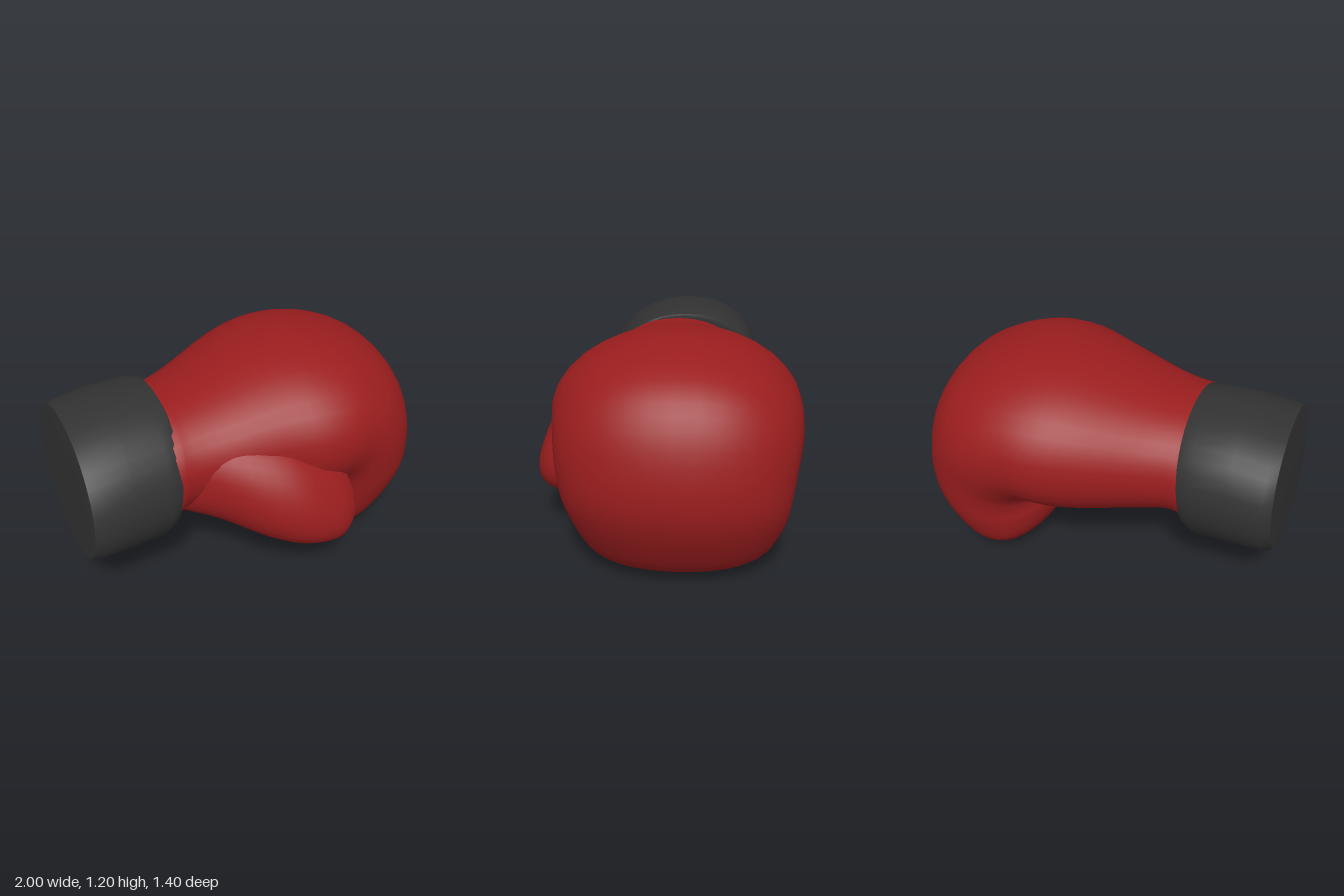
import * as THREE from 'three';
import { toCreasedNormals } from 'three/addons/utils/BufferGeometryUtils.js';

const SIDES = 36;

// Catmull-Rom blend of one number between sections
function blend(a, b, c, d, t) {
  return 0.5 * (2 * b + (c - a) * t + (2 * a - 5 * b + 4 * c - d) * t * t + (3 * b - a - 3 * c + d) * t * t * t);
}

// Skins rounded rings. Each section is [outerX, outerY, innerX, innerY, zMin, zMax, lean];
// the ring plane holds the z axis and the line from inner to outer, and
// lean slides the outer side along z relative to the inner side.
function loft(sections, steps, power) {
  const at = (i) => sections[Math.max(0, Math.min(sections.length - 1, i))];
  const rows = [];
  for (let i = 0; i < sections.length - 1; i++) {
    for (let s = 0; s < steps; s++) {
      rows.push(at(i).map((v, k) => blend(at(i - 1)[k], v, at(i + 1)[k], at(i + 2)[k], s / steps)));
    }
  }
  rows.push(at(sections.length - 1));

  const positions = [];
  const index = [];
  const round = (v) => Math.sign(v) * Math.pow(Math.abs(v), 2 / power);
  rows.forEach(([ox, oy, ix, iy, z0, z1, lean = 0], r) => {
    for (let j = 0; j < SIDES; j++) {
      const a = (j / SIDES) * Math.PI * 2;
      const u = round(Math.cos(a)) / 2;
      const w = round(Math.sin(a)) / 2;
      positions.push(
        (ox + ix) / 2 + (ox - ix) * u,
        (oy + iy) / 2 + (oy - iy) * u,
        (z0 + z1) / 2 + (z1 - z0) * w + lean * u
      );
      if (r < rows.length - 1) {
        const p = r * SIDES + j;
        const q = r * SIDES + (j + 1) % SIDES;
        index.push(p, q, p + SIDES, q, q + SIDES, p + SIDES);
      }
    }
  });
  const geometry = new THREE.BufferGeometry();
  geometry.setAttribute('position', new THREE.Float32BufferAttribute(positions, 3));
  geometry.setIndex(index);
  geometry.computeVertexNormals();
  return geometry;
}

export function createModel() {
  const red = new THREE.MeshStandardMaterial({ color: 0x9a1d1e });
  red.name = 'red leather';
  const black = new THREE.MeshStandardMaterial({ color: 0x323232 });
  black.name = 'black cuff';

  const group = new THREE.Group();
  group.name = 'boxingGlove';
  const add = (name, geometry, material) => {
    const mesh = new THREE.Mesh(geometry, material);
    mesh.name = name;
    group.add(mesh);
  };

  // Hand: wrist, back of the hand, then the fist curling down and under
  add('hand', loft([
    [-0.53, 1.03, -0.58, 0.36, -0.43, 0.37],
    [-0.46, 1.035, -0.54, 0.365, -0.43, 0.385],
    [-0.40, 1.04, -0.44, 0.42, -0.44, 0.38],
    [-0.25, 1.07, -0.28, 0.41, -0.50, 0.41],
    [0.05, 1.16, 0.00, 0.38, -0.63, 0.49],
    [0.27, 1.20, 0.17, 0.37, -0.69, 0.56],
    [0.49, 1.19, 0.26, 0.38, -0.70, 0.58],
    [0.69, 1.13, 0.29, 0.37, -0.70, 0.565],
    [0.84, 1.03, 0.30, 0.35, -0.69, 0.55],
    [0.95, 0.85, 0.30, 0.33, -0.67, 0.535],
    [1.00, 0.60, 0.29, 0.30, -0.65, 0.51],
    [0.965, 0.40, 0.28, 0.26, -0.63, 0.475],
    [0.85, 0.18, 0.29, 0.19, -0.58, 0.42],
    [0.76, 0.08, 0.33, 0.11, -0.51, 0.36],
    [0.65, 0.015, 0.41, 0.03, -0.38, 0.25],
    [0.55, 0.0, 0.55, 0.0, -0.08, -0.08],
  ], 3, 2.12), red);

  // Thumb: swells out of the wrist and rests against the fist
  add('thumb', loft([
    [-0.50, 0.92, -0.50, 0.44, -0.15, 0.29, -0.04],
    [-0.30, 0.94, -0.30, 0.405, -0.10, 0.45, -0.10],
    [-0.11, 0.93, -0.11, 0.335, 0.00, 0.585, -0.20],
    [0.07, 0.88, 0.07, 0.28, 0.12, 0.66, -0.22],
    [0.25, 0.80, 0.25, 0.27, 0.20, 0.67, -0.24],
    [0.35, 0.70, 0.35, 0.31, 0.28, 0.645, -0.16],
    [0.395, 0.59, 0.395, 0.38, 0.38, 0.60, -0.06],
    [0.405, 0.48, 0.405, 0.48, 0.49, 0.49, 0],
  ], 3, 2.1), red);

  // Cuff: slightly tilted closed sleeve with rounded rims
  add('cuff', toCreasedNormals(loft([
    [-0.955, 0.67, -0.955, 0.67, -0.02, -0.02, 0],
    [-0.97, 1.00, -1.00, 0.33, -0.42, 0.37, -0.08],
    [-0.965, 1.035, -0.998, 0.30, -0.46, 0.41, -0.08],
    [-0.92, 1.045, -0.95, 0.285, -0.485, 0.425, -0.08],
    [-0.74, 1.07, -0.80, 0.28, -0.49, 0.42, -0.08],
    [-0.54, 1.072, -0.60, 0.285, -0.495, 0.405, -0.08],
    [-0.47, 1.06, -0.545, 0.32, -0.47, 0.39, -0.06],
    [-0.465, 1.045, -0.54, 0.35, -0.44, 0.38, -0.04],
    [-0.50, 0.90, -0.55, 0.50, -0.30, 0.25, 0],
  ], 1, 2.08), 0.8), black);

  return group;
}
